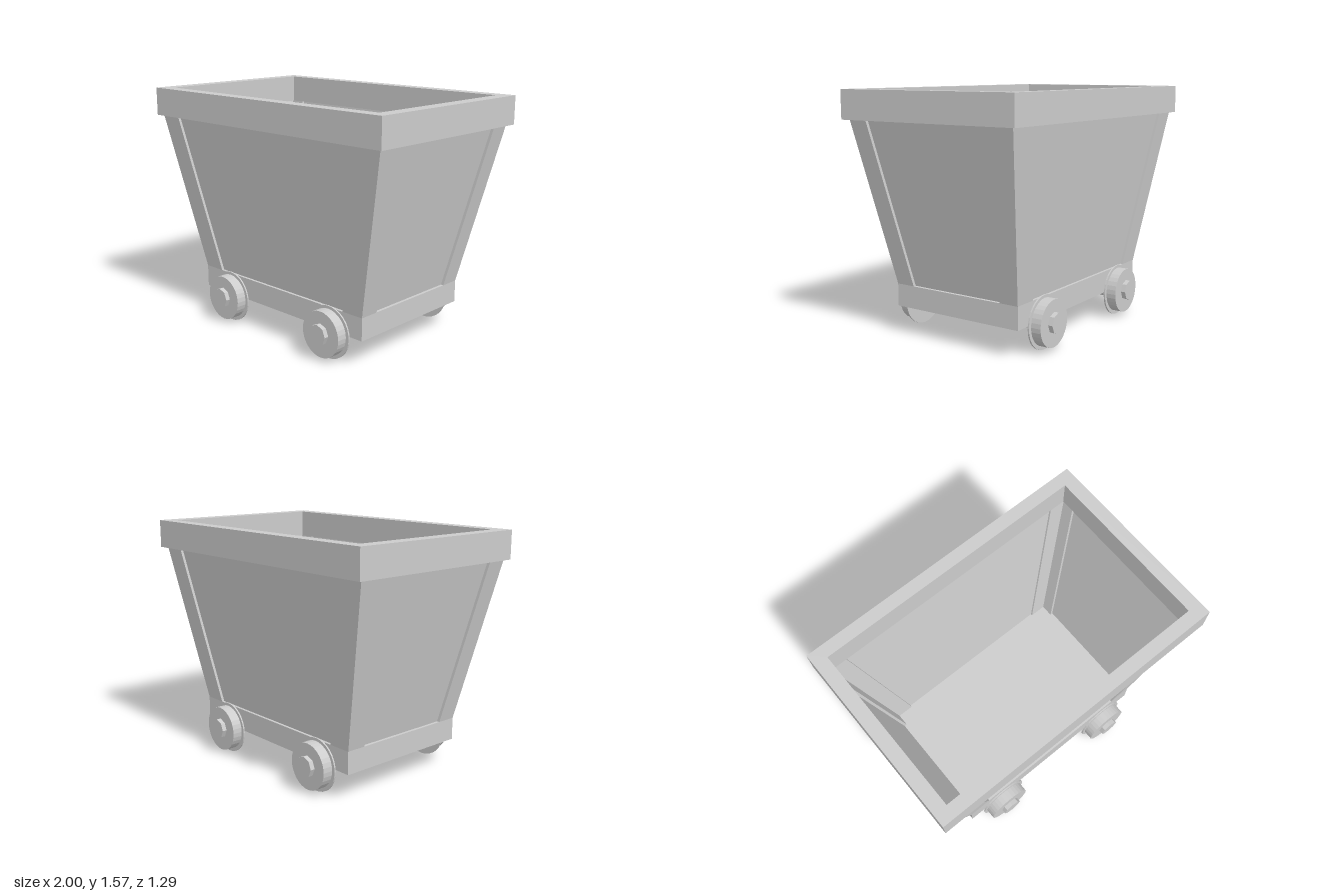
import * as THREE from 'three';

const FLOOR = 0.327, RIM = 1.387, TOP = 1.572;
const SLOPE_X = 0.242 / (RIM - FLOOR), SLOPE_Z = 0.14 / (RIM - FLOOR);
const BODY_X = -0.005; // the tub sits slightly off the rim's centre

export function createModel() {
  const group = new THREE.Group();
  const material = new THREE.MeshStandardMaterial({ color: 0xcccccc, flatShading: true });

  const add = (name, geometry, x = 0, y = 0, z = 0) => {
    const mesh = new THREE.Mesh(geometry, material);
    mesh.name = name;
    mesh.position.set(x, y, z);
    group.add(mesh);
  };

  // Extrudes a plan outline (x, z) upwards from y0 to y1; a hole runs the opposite way round
  const upright = (points, y0, y1, hole) => {
    const toVectors = (list) => list.map(([x, z]) => new THREE.Vector2(x, -z));
    const shape = new THREE.Shape(toVectors(points));
    if (hole) shape.holes.push(new THREE.Path(toVectors(hole)));
    return new THREE.ExtrudeGeometry(shape, { depth: y1 - y0, bevelEnabled: false })
      .rotateX(-Math.PI / 2).translate(0, y0, 0);
  };
  const rect = (w, d) => [[-w, -d], [w, -d], [w, d], [-w, d]];

  // Leans the walls outwards from the floor up
  const flare = (geometry) => {
    const p = geometry.attributes.position;
    for (let i = 0; i < p.count; i++) {
      const h = p.getY(i) - FLOOR;
      p.setX(i, p.getX(i) + Math.sign(p.getX(i)) * h * SLOPE_X);
      p.setZ(i, p.getZ(i) + Math.sign(p.getZ(i)) * h * SLOPE_Z);
    }
    geometry.computeVertexNormals();
    return geometry;
  };

  // Base and rim
  add('base', new THREE.BoxGeometry(1.455, FLOOR - 0.18, 0.94), BODY_X, (FLOOR + 0.18) / 2, 0);
  add('rim', upright(rect(1, 0.645), RIM, TOP, rect(0.91, 0.56).reverse()));

  // L-shaped corner posts
  const corner = [[0.7275, 0.47], [0.57, 0.47], [0.57, 0.422], [0.68, 0.422], [0.68, 0.337], [0.7275, 0.337]];
  for (const sx of [-1, 1]) for (const sz of [-1, 1]) {
    add('cornerPost', flare(upright(corner.map(([x, z]) => [x * sx, z * sz]), FLOOR, RIM + 0.01)), BODY_X);
  }

  // Recessed wall panels
  const height = RIM + 0.01 - FLOOR, middle = FLOOR + height / 2;
  for (const s of [-1, 1]) {
    add('longPanel', flare(new THREE.BoxGeometry(1.18, height, 0.018).translate(0, middle, s * 0.443)), BODY_X);
    add('endPanel', flare(new THREE.BoxGeometry(0.01, height, 0.71).translate(s * 0.703, middle, 0)), BODY_X);
  }

  // Axles with flanged wheels
  const disc = (radius, length, sides) => new THREE.CylinderGeometry(radius, radius, length, sides).rotateX(Math.PI / 2);
  for (const x of [-0.462, 0.462]) {
    add('axle', disc(0.068, 1.175, 8), x, 0.18, 0);
    for (const s of [-1, 1]) {
      add('wheelFlange', disc(0.172, 0.01, 32), x, 0.172, s * 0.484);
      add('wheelTread', disc(0.15, 0.073, 32), x, 0.175, s * 0.52);
    }
  }
  return group;
}
